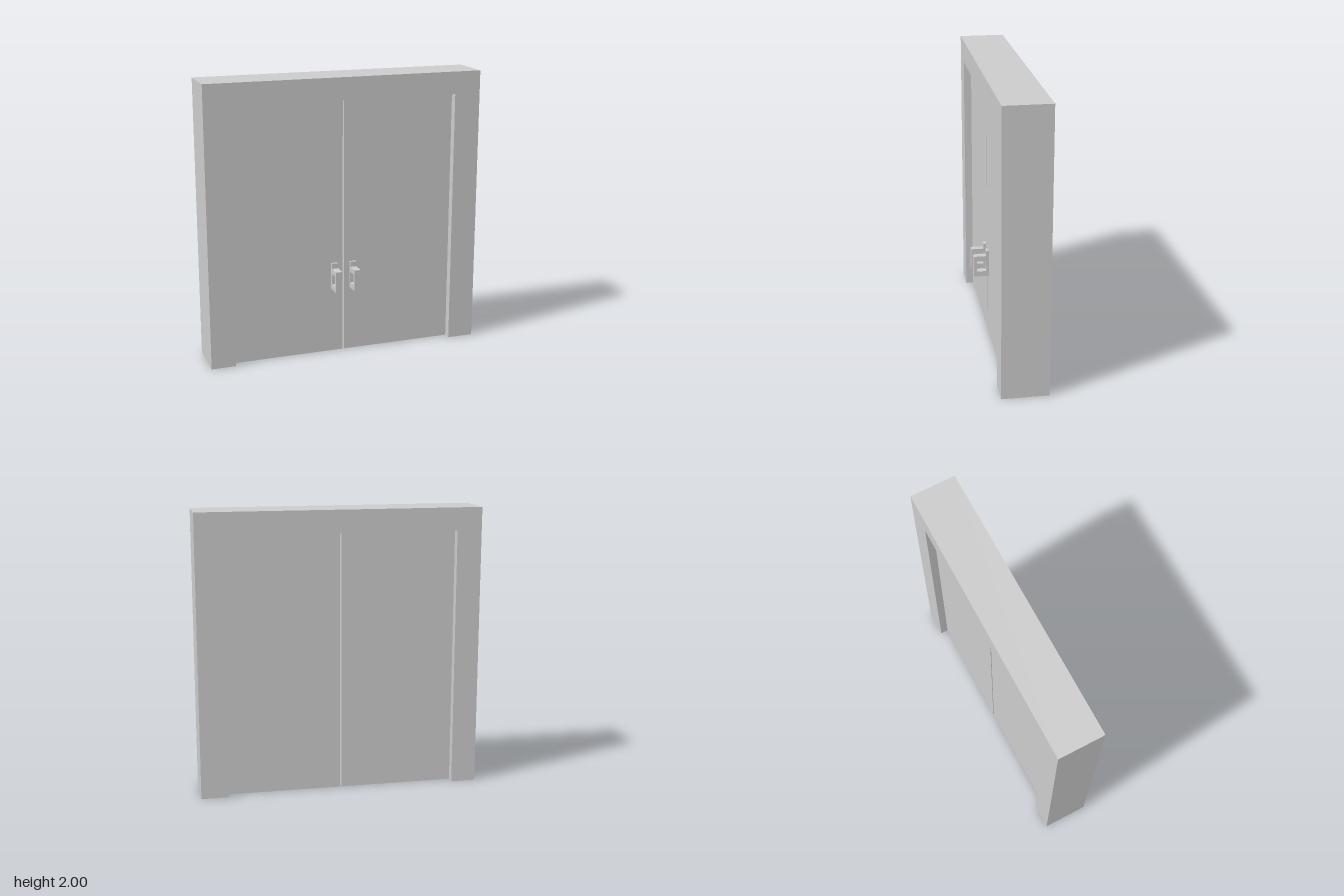
import * as THREE from 'three';

const material = new THREE.MeshStandardMaterial({ color: 0xcccccc, flatShading: true });

// Extrudes a shape along +z, from z0 to z1
function extrude(shape, z0, z1) {
  const geometry = new THREE.ExtrudeGeometry(shape, { depth: z1 - z0, bevelEnabled: false });
  return geometry.translate(0, 0, z0);
}

function part(name, geometry) {
  const mesh = new THREE.Mesh(geometry, material);
  mesh.name = name;
  return mesh;
}

// Box given by its lower and upper corners
function box(name, [x0, y0, z0], [x1, y1, z1]) {
  const geometry = new THREE.BoxGeometry(x1 - x0, y1 - y0, z1 - z0);
  geometry.translate((x0 + x1) / 2, (y0 + y1) / 2, (z0 + z1) / 2);
  return part(name, geometry);
}

const points = (list) => list.map(([x, y]) => new THREE.Vector2(x, y));

const CENTRE = -0.007; // middle of the opening
const HALF = 0.817; // half width of the opening
const GAP = 0.005; // half of the slit between the leaves
const TOP = 1.84;
const DOOR_BACK = -0.133, DOOR_FRONT = 0.08;

// Pull handle: a thin back plate carrying a rectangular loop
function createHandle() {
  const handle = new THREE.Group();
  const w = 0.0235;
  handle.add(box('handlePlate', [-w, 0.475, DOOR_FRONT], [w, 0.668, 0.1]));
  const grip = new THREE.Shape(points([[0.1, 0.475], [0.19, 0.475], [0.19, 0.63], [0.1, 0.63],
    [0.1, 0.592], [0.168, 0.592], [0.168, 0.513], [0.1, 0.513]]));
  // Profile drawn in z and y, turned so its depth runs along x
  const geometry = extrude(grip, -w, w).rotateY(-Math.PI / 2);
  handle.add(part('handleGrip', geometry));
  return handle;
}

export function createModel() {
  const model = new THREE.Group();
  model.name = 'doubleDoor';

  // Frame: two jambs and a lintel in one piece
  const l = CENTRE - HALF, r = CENTRE + HALF;
  const frame = new THREE.Shape(points([[-1, 0], [l, 0], [l, TOP], [r, TOP], [r, 0], [1, 0], [1, 2], [-1, 2]]));
  model.add(part('frame', extrude(frame, -0.19, 0.135)));

  // Two leaves, each with a handle beside the slit
  for (const [side, s] of [['left', 1], ['right', -1]]) {
    const inner = CENTRE + s * GAP, outer = CENTRE + s * HALF;
    model.add(box(side + 'Door',
      [Math.min(inner, outer), 0, DOOR_BACK], [Math.max(inner, outer), TOP, DOOR_FRONT]));
    const handle = createHandle();
    handle.name = side + 'Handle';
    handle.position.x = CENTRE + s * 0.069;
    model.add(handle);
  }
  return model;
}
